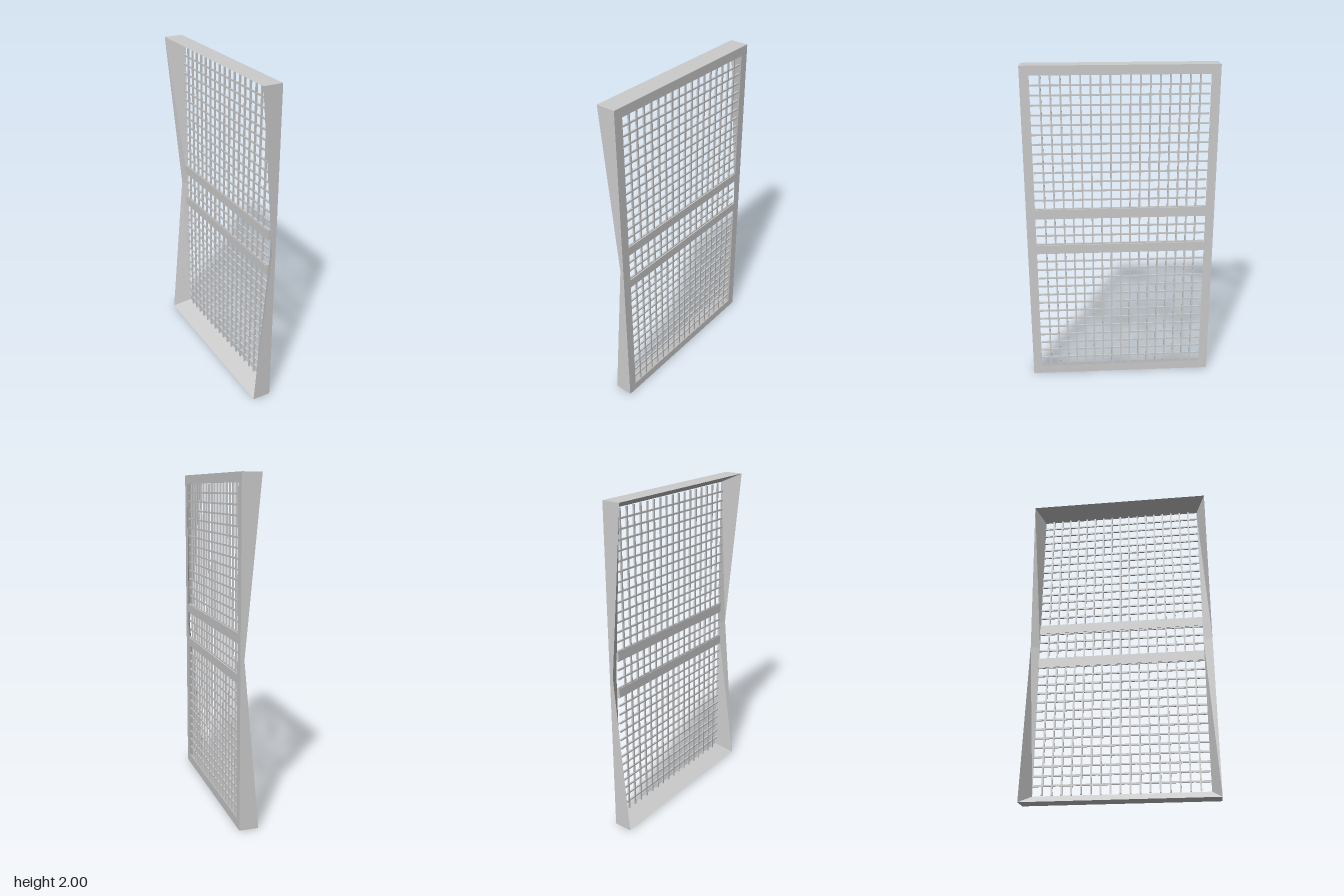
import * as THREE from 'three';

const FACE = 0.0575;   // x of the flat face
const HALF = 0.5725;   // half width along z
const RIM = 0.055;     // visible width of the frame
const PITCH = 0.0573;  // spacing of the lattice bars

const material = new THREE.MeshStandardMaterial({ color: 0xcccccc, flatShading: true, side: THREE.DoubleSide });

function addBox(parent, name, w, h, d, x, y, z) {
  const mesh = new THREE.Mesh(new THREE.BoxGeometry(w, h, d), material);
  mesh.name = name;
  mesh.position.set(x, y, z);
  parent.add(mesh);
}

// Triangular cross-section swept round the rectangle, shallow at mid height
function frameGeometry() {
  const ring = [[1, 0], [1, 1], [1, 2], [-1, 2], [-1, 1], [-1, 0]];
  const sections = ring.map(([side, y]) => {
    const back = y === 1 ? 0.035 : -FACE;
    const innerY = y + (1 - y) * RIM;
    return [
      [FACE, y, side * HALF],
      [back, y, side * HALF],
      [FACE, innerY, side * (HALF - RIM)],
    ];
  });
  const positions = [];
  sections.forEach((s, i) => {
    const t = sections[(i + 1) % sections.length];
    for (let j = 0; j < 3; j++) {
      const k = (j + 1) % 3;
      positions.push(...s[j], ...t[j], ...t[k], ...s[j], ...t[k], ...s[k]);
    }
  });
  const geometry = new THREE.BufferGeometry();
  geometry.setAttribute('position', new THREE.Float32BufferAttribute(positions, 3));
  geometry.computeVertexNormals();
  return geometry;
}

export function createModel() {
  const model = new THREE.Group();
  model.name = 'latticePanel';

  const frame = new THREE.Mesh(frameGeometry(), material);
  frame.name = 'taperedFrame';
  model.add(frame);

  // Two rails across the middle
  const innerWidth = 2 * (HALF - RIM);
  for (const side of [-1, 1]) {
    addBox(model, 'crossRail', 0.02, RIM, innerWidth, FACE - 0.01, 1 + side * 0.116, 0);
  }

  // Lattice of thin square bars
  const lattice = new THREE.Group();
  lattice.name = 'lattice';
  const bar = 0.01, x = FACE - 0.012;
  for (let i = -8; i <= 8; i++) {
    addBox(lattice, 'verticalBar', bar, 2 - 2 * RIM, bar, x, 1, i * PITCH);
  }
  for (let i = -16; i < 16; i++) {
    addBox(lattice, 'horizontalBar', bar, bar, innerWidth, x, 1 + (i + 0.5) * PITCH, 0);
  }
  model.add(lattice);
  return model;
}
